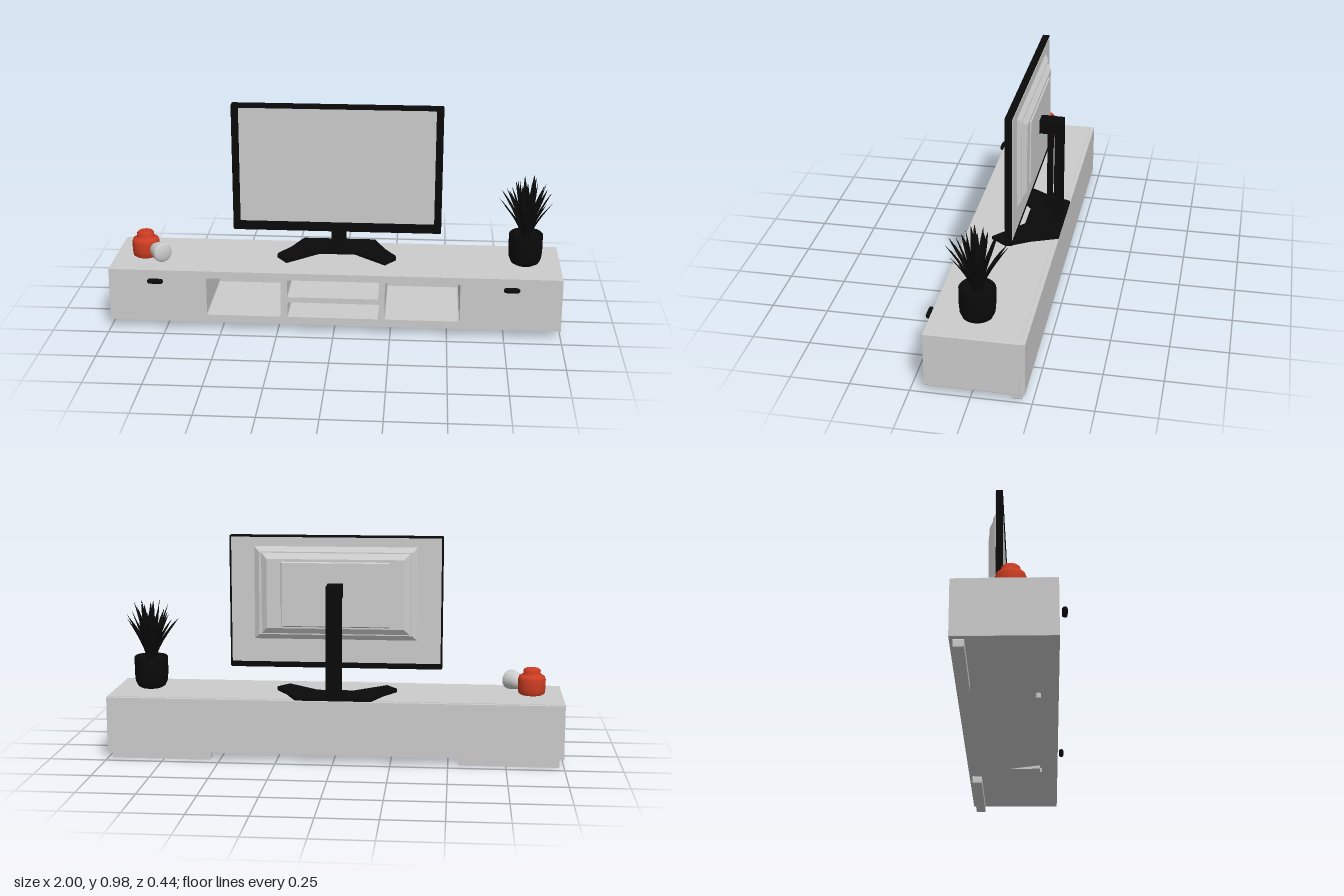
import * as THREE from 'three';

const mat = (name, color, side = THREE.FrontSide) => {
  const m = new THREE.MeshStandardMaterial({ color, side });
  m.name = name;
  return m;
};

export function createModel() {
  const root = new THREE.Group();
  root.name = 'mediaUnit';
  const grey = mat('light grey', 0xcccccc);
  const black = mat('black', 0x0a0a0a, THREE.DoubleSide);
  const red = mat('red', 0xcc3c22);

  const add = (name, geometry, material, parent = root) => {
    const mesh = new THREE.Mesh(geometry, material);
    mesh.name = name;
    parent.add(mesh);
    return mesh;
  };
  // Box given by its limits on each axis
  const box = (name, x0, x1, y0, y1, z0, z1, material, parent = root) => {
    const mesh = add(name, new THREE.BoxGeometry(x1 - x0, y1 - y0, z1 - z0), material, parent);
    mesh.position.set((x0 + x1) / 2, (y0 + y1) / 2, (z0 + z1) / 2);
    return mesh;
  };
  // Rectangle path with small rounded corners
  const roundRect = (path, x0, x1, y0, y1, r) => {
    path.moveTo(x0 + r, y0);
    path.lineTo(x1 - r, y0).quadraticCurveTo(x1, y0, x1, y0 + r);
    path.lineTo(x1, y1 - r).quadraticCurveTo(x1, y1, x1 - r, y1);
    path.lineTo(x0 + r, y1).quadraticCurveTo(x0, y1, x0, y1 - r);
    path.lineTo(x0, y0 + r).quadraticCurveTo(x0, y0, x0 + r, y0);
    return path;
  };
  const lathe = (pts, segments = 32) =>
    new THREE.LatheGeometry(pts.map(([x, y]) => new THREE.Vector2(x, y)), segments);

  // Cabinet with four open compartments
  const cabinet = new THREE.Group();
  cabinet.name = 'cabinet';
  root.add(cabinet);
  const carcass = roundRect(new THREE.Shape(), -1, 1, 0.035, 0.277, 0.003);
  for (const [x0, x1, y0, y1] of [
    [-0.565, -0.235, 0.07, 0.245], [0.225, 0.555, 0.07, 0.245],
    [-0.205, 0.2, 0.165, 0.245], [-0.205, 0.2, 0.07, 0.14],
  ]) carcass.holes.push(roundRect(new THREE.Path(), x0, x1, y0, y1, 0.008));
  add('carcass', new THREE.ExtrudeGeometry(carcass, { depth: 0.39, bevelEnabled: false, curveSegments: 3 }), grey, cabinet)
    .position.z = -0.2;
  box('backPanel', -0.998, 0.998, 0.037, 0.275, -0.22, -0.199, grey, cabinet);

  // Door handles
  for (const x of [-0.788, 0.778]) {
    const handle = add('handle', new THREE.CapsuleGeometry(0.0115, 0.048, 6, 12), black, cabinet);
    handle.rotation.z = Math.PI / 2;
    handle.position.set(x, 0.234, 0.213);
  }

  // Rear plinths and small front feet
  for (const [x0, x1] of [[-0.98, -0.545], [0.54, 0.98]])
    add('rearPlinth', new THREE.ExtrudeGeometry(
      roundRect(new THREE.Shape(), x0, x1, 0, 0.037, 0.008),
      { depth: 0.043, bevelEnabled: false, curveSegments: 4 }), grey, cabinet).position.z = -0.205;
  for (const x of [-0.45, 0.44]) {
    const foot = add('frontFoot', new THREE.CylinderGeometry(0.012, 0.011, 0.022, 16), grey, cabinet);
    foot.position.set(x, 0.026, 0.107);
  }
  const blade = box('footBlade', 0.385, 0.452, 0.015, 0.031, -0.02, 0.11, grey, cabinet);
  const bp = blade.geometry.attributes.position;
  for (let i = 0; i < bp.count; i++) if (bp.getZ(i) < 0) {
    bp.setY(i, bp.getY(i) * 0.15 - 0.003);
    bp.setX(i, bp.getX(i) * 0.5);
  }
  blade.geometry.computeVertexNormals();

  // Television
  const tv = new THREE.Group();
  tv.name = 'television';
  root.add(tv);
  const bezel = roundRect(new THREE.Shape(), -0.469, 0.467, 0.395, 0.98, 0.008);
  bezel.holes.push(roundRect(new THREE.Path(), -0.437, 0.435, 0.437, 0.963, 0.006));
  add('bezel', new THREE.ExtrudeGeometry(bezel, { depth: 0.029, bevelEnabled: false }), black, tv)
    .position.z = -0.067;
  box('screen', -0.438, 0.436, 0.436, 0.964, -0.06, -0.042, grey, tv);
  box('rearCover', -0.461, 0.459, 0.42, 0.972, -0.069, -0.06, grey, tv);

  // Stepped rear housing: boxes narrowing towards the back
  const housing = (name, x, y0, y1, z0, z1, inset) => {
    const mesh = box(name, -x, x, y0, y1, z0, z1, grey, tv);
    const g = mesh.geometry, p = g.attributes.position;
    for (let i = 0; i < p.count; i++) if (p.getZ(i) < 0) {
      p.setX(i, p.getX(i) - Math.sign(p.getX(i)) * inset);
      p.setY(i, p.getY(i) - Math.sign(p.getY(i)) * inset);
    }
    g.computeVertexNormals();
  };
  housing('rearHousing', 0.36, 0.52, 0.935, -0.085, -0.067, 0.025);
  housing('rearHousingStep', 0.325, 0.55, 0.905, -0.102, -0.085, 0.025);
  housing('rearCentrePanel', 0.24, 0.58, 0.87, -0.107, -0.1, 0.006);

  // Stand: column, arm, inner rail and forked base
  const stand = new THREE.Group();
  stand.name = 'stand';
  root.add(stand);
  box('column', -0.036, 0.031, 0.285, 0.775, -0.21, -0.175, black, stand);
  box('arm', -0.036, 0.031, 0.718, 0.777, -0.176, -0.104, black, stand);
  box('innerRail', -0.025, 0.02, 0.35, 0.72, -0.163, -0.142, black, stand);
  box('railFoot', -0.033, 0.028, 0.342, 0.4, -0.177, -0.138, black, stand);
  const half = [[0.165, -0.22], [0.215, -0.1], [0.265, -0.02], [0.268, 0], [0.22, 0.068], [0.08, -0.055]];
  const outline = [...half, ...half.map(([x, z]) => [-x, z]).reverse()];
  const base = add('standBase', new THREE.ExtrudeGeometry(
    new THREE.Shape(outline.map(([x, z]) => new THREE.Vector2(x, -z))),
    { depth: 0.014, bevelEnabled: false }), black, stand);
  base.rotation.x = -Math.PI / 2;
  base.position.y = 0.278;

  // Potted plant
  const plant = new THREE.Group();
  plant.name = 'plant';
  plant.position.set(0.842, 0.277, 0);
  root.add(plant);
  add('pot', lathe([[0, 0.002], [0.045, 0.002], [0.062, 0.012], [0.072, 0.035], [0.075, 0.07],
    [0.075, 0.142], [0.071, 0.147], [0.066, 0.142], [0.064, 0.125], [0, 0.125]]), black, plant);
  let seed = 7;
  const rand = () => (seed = (seed * 16807) % 2147483647) / 2147483647;
  // Tapered leaf that leans outwards; each section is a flat V of three points
  const leaf = (lean, height, width) => {
    const pos = [], index = [], n = 6;
    for (let i = 0; i <= n; i++) {
      const t = i / n, w = width * (0.6 + 1.2 * t) * (1 - t ** 3) + 0.001;
      const r = 0.015 + lean * t ** 1.6, y = 0.12 + height * t;
      pos.push(r, y, -w, r + w * 0.5, y - w * 0.2, 0, r, y, w);
      if (i < n) for (const k of [0, 1]) {
        const a = i * 3 + k;
        index.push(a, a + 3, a + 1, a + 1, a + 3, a + 4);
      }
    }
    const g = new THREE.BufferGeometry();
    g.setAttribute('position', new THREE.Float32BufferAttribute(pos, 3));
    g.setIndex(index);
    g.computeVertexNormals();
    return g;
  };
  const rings = [[12, 0.105, 0.2], [10, 0.07, 0.25], [7, 0.03, 0.28]];
  rings.forEach(([count, lean, height], ring) => {
    for (let i = 0; i < count; i++) {
      const mesh = add('leaf', leaf(lean * (0.85 + 0.3 * rand()), height * (0.88 + 0.2 * rand()), 0.01), black, plant);
      mesh.rotation.y = (i + ring * 0.4 + rand() * 0.4) / count * Math.PI * 2;
    }
  });

  // Red lidded jar
  add('redJar', lathe([[0, 0], [0.05, 0], [0.058, 0.006], [0.061, 0.03], [0.061, 0.068], [0.056, 0.082],
    [0.042, 0.09], [0.038, 0.094], [0.038, 0.108], [0.032, 0.115], [0.018, 0.118], [0, 0.118]]), red)
    .position.set(-0.864, 0.278, 0.006);

  // Small pale vessel lying on its side
  const vessel = add('paleVessel', lathe([[0, -0.052], [0.016, -0.05], [0.028, -0.042], [0.036, -0.024],
    [0.041, 0], [0.044, 0.022], [0.043, 0.027], [0.036, 0.032], [0.018, 0.036], [0, 0.037]]), grey);
  vessel.quaternion.setFromUnitVectors(new THREE.Vector3(0, 1, 0), new THREE.Vector3(0.64, 0.03, 0.77).normalize());
  vessel.position.set(-0.787, 0.324, 0.076);

  return root;
}
